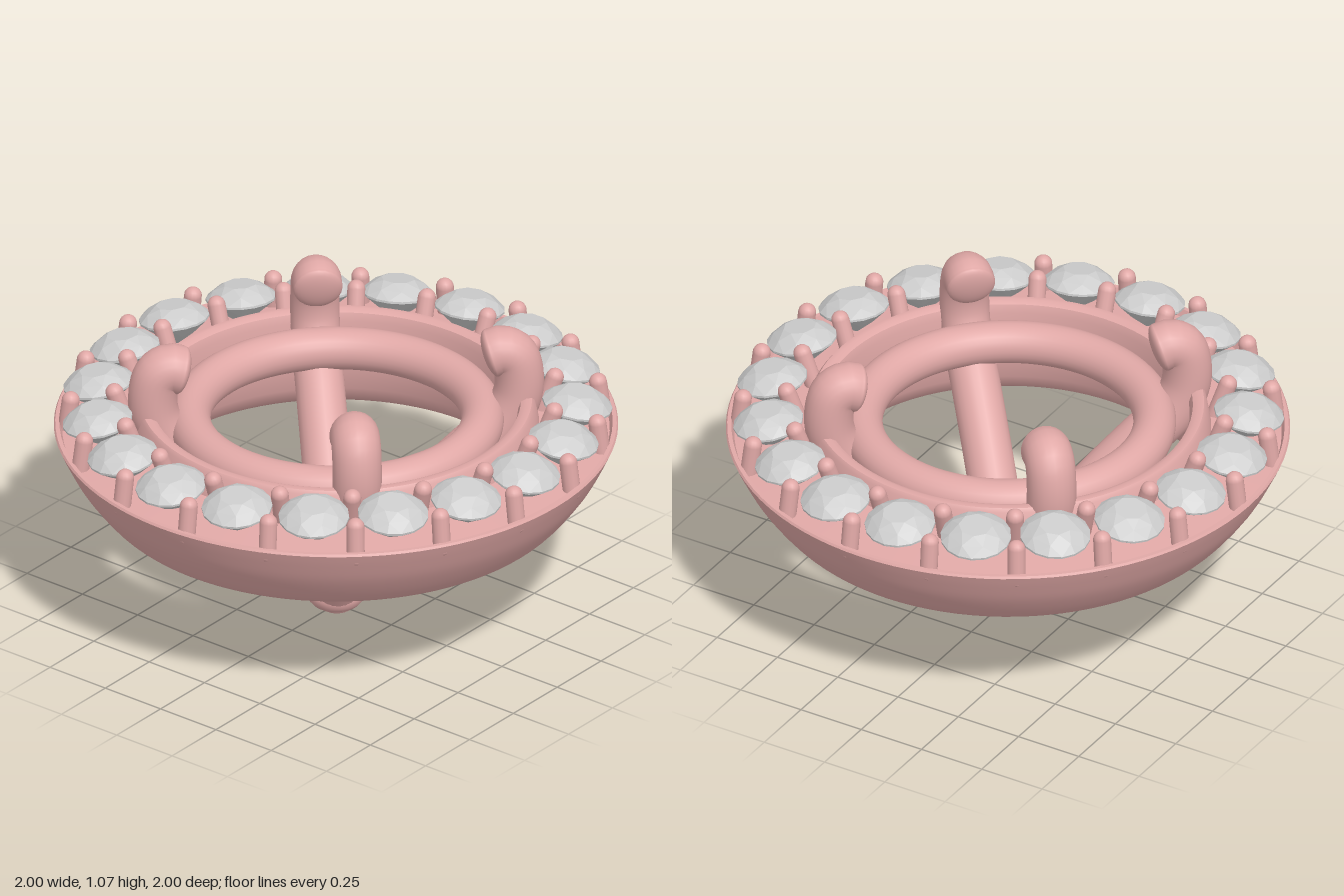
import * as THREE from 'three';
import { toCreasedNormals } from 'three/addons/utils/BufferGeometryUtils.js';
import { ConvexGeometry } from 'three/addons/geometries/ConvexGeometry.js';

const metal = new THREE.MeshStandardMaterial({ color: 0xe0a8a6 });
const gemMat = new THREE.MeshStandardMaterial({ color: 0xcccccc, flatShading: true });
const GEMS = 19;
const V = (x, y, z) => new THREE.Vector3(x, y, z);

function add(parent, name, geometry, material = metal) {
  const mesh = new THREE.Mesh(geometry, material);
  mesh.name = name;
  parent.add(mesh);
  return mesh;
}

function lathe(points, segments) {
  const profile = points.map(([r, y]) => new THREE.Vector2(r, y));
  return toCreasedNormals(new THREE.LatheGeometry(profile, segments), 0.6);
}

// Round brilliant: table, crown, girdle and culet
function gemGeometry() {
  const pts = [V(0, -0.1, 0)];
  const ring = (n, r, y, turn) => {
    for (let i = 0; i < n; i++) {
      const a = ((i + turn) / n) * Math.PI * 2;
      pts.push(V(r * Math.sin(a), y, r * Math.cos(a)));
    }
  };
  ring(8, 0.06, 0.052, 0);
  ring(8, 0.098, 0.031, 0.5);
  ring(16, 0.126, 0.004, 0);
  ring(16, 0.126, -0.004, 0);
  ring(8, 0.07, -0.052, 0.5);
  return new ConvexGeometry(pts);
}

// Round-ended rod between two points
function rod(parent, name, from, to, radius) {
  const axis = to.clone().sub(from);
  const mesh = add(parent, name, new THREE.CapsuleGeometry(radius, axis.length(), 6, 14));
  mesh.position.copy(from).add(to).multiplyScalar(0.5);
  mesh.quaternion.setFromUnitVectors(V(0, 1, 0), axis.normalize());
}

export function createModel() {
  const model = new THREE.Group();
  model.name = 'haloSetting';

  // Halo bowl: curved outside, recessed gem channel, raised inner lip
  const outer = new THREE.SplineCurve([
    [0.765, 0.435], [0.81, 0.445], [0.86, 0.49], [0.93, 0.585], [0.975, 0.67], [1, 0.725],
  ].map(([r, y]) => new THREE.Vector2(r, y))).getPoints(20).map((p) => [p.x, p.y]);
  add(model, 'haloBowl', lathe([
    [0.65, 0.6], [0.665, 0.51], [0.69, 0.455], [0.72, 0.435], ...outer,
    [0.995, 0.733], [0.98, 0.733], [0.97, 0.705], [0.72, 0.73], [0.705, 0.815],
    [0.695, 0.828], [0.675, 0.83], [0.655, 0.82], [0.645, 0.79], [0.65, 0.6],
  ], 96));

  // Inner seat ring
  const seat = add(model, 'seatRing', new THREE.TorusGeometry(0.52, 0.076, 24, 96));
  seat.rotation.x = Math.PI / 2;
  seat.position.y = 0.75;

  // Gems with a pair of small prongs in each gap
  const gemGeo = gemGeometry();
  for (let i = 0; i < GEMS; i++) {
    const cell = new THREE.Group();
    cell.name = 'gemCell';
    cell.rotation.y = (i / GEMS) * Math.PI * 2;
    model.add(cell);
    const gem = add(cell, 'gem', gemGeo, gemMat);
    gem.position.set(0, 0.81, 0.855);
    gem.rotation.x = 0.17;

    const gap = new THREE.Group();
    gap.name = 'gapProngs';
    gap.rotation.y = Math.PI / GEMS;
    cell.add(gap);
    rod(gap, 'outerProng', V(0, 0.7, 0.955), V(0, 0.815, 0.94), 0.032);
    rod(gap, 'innerProng', V(0, 0.71, 0.735), V(0, 0.848, 0.785), 0.032);
  }

  // Four struts that rise from the foot and hook inward as claws
  const path = new THREE.CatmullRomCurve3([
    [0, 0.05], [0.05, 0.12], [0.17, 0.28], [0.315, 0.44], [0.48, 0.6], [0.6, 0.71],
    [0.648, 0.81], [0.65, 0.91], [0.63, 0.965], [0.59, 0.985], [0.555, 0.975],
  ].map(([r, y]) => V(0, y, r)));
  const tube = new THREE.TubeGeometry(path, 80, 0.088, 24);
  const tipDir = path.getTangent(1);
  for (let i = 0; i < 4; i++) {
    const claw = new THREE.Group();
    claw.name = 'claw';
    claw.rotation.y = Math.PI / 4 + (i * Math.PI) / 2;
    model.add(claw);
    add(claw, 'strut', tube);
    const tip = add(claw, 'clawTip', new THREE.SphereGeometry(0.088, 24, 16));
    tip.scale.y = 0.35;
    tip.position.copy(path.getPoint(1));
    tip.quaternion.setFromUnitVectors(V(0, 1, 0), tipDir);
  }

  // Rounded foot where the struts meet
  add(model, 'foot', lathe([
    [0, 0], [0.055, 0.002], [0.085, 0.012], [0.1, 0.03], [0.105, 0.05],
    [0.105, 0.07], [0.095, 0.09], [0, 0.1],
  ], 40));
  return model;
}
